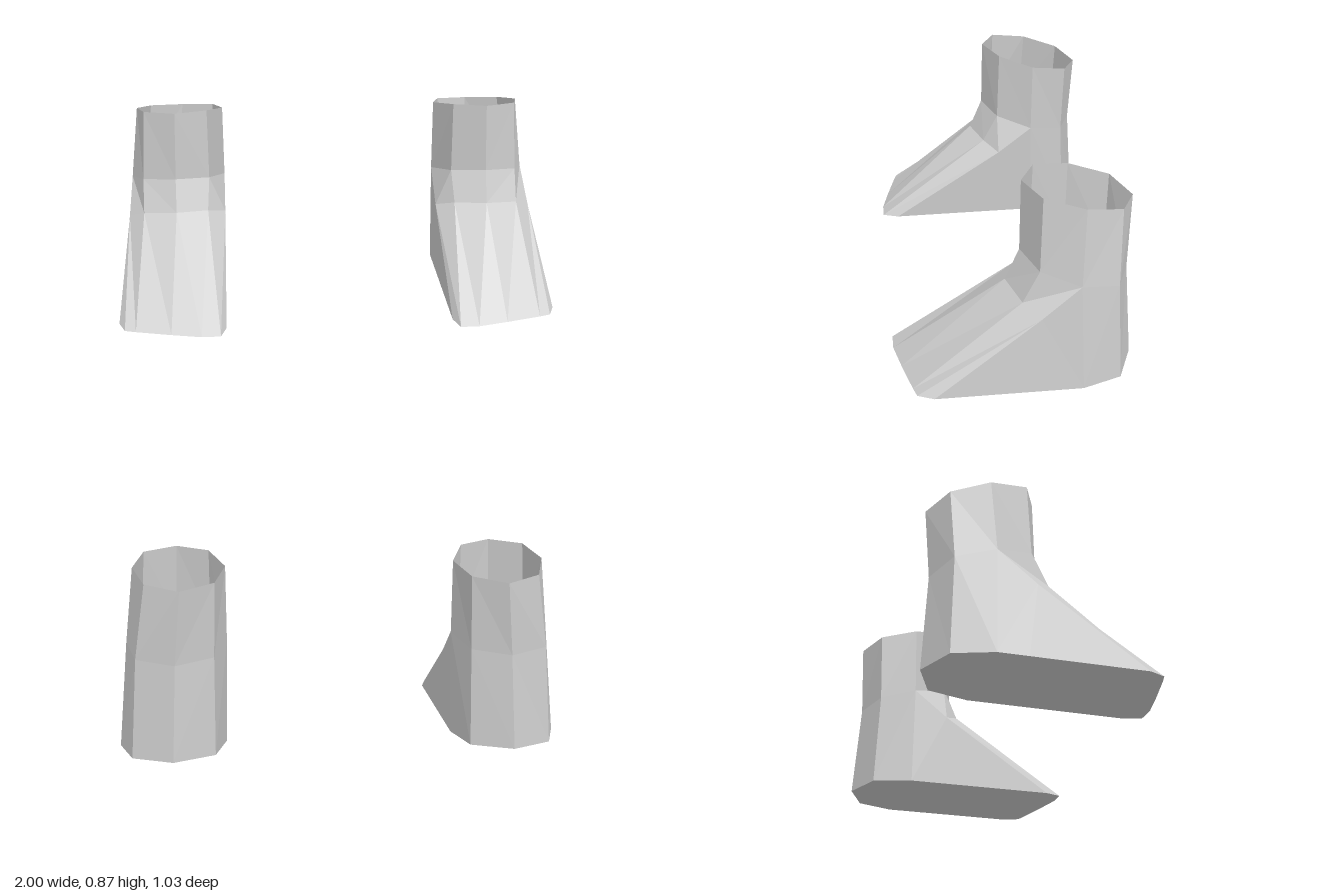
import * as THREE from 'three';

// Cross-sections of the left boot, [x, y, z].
// Ring order: front, front outer, outer, back outer, back, back inner, inner, front inner.
const cuff = [
  [0.725, 0.865, -0.03], [0.87, 0.855, -0.10], [0.915, 0.82, -0.27], [0.86, 0.78, -0.43],
  [0.71, 0.76, -0.50], [0.56, 0.78, -0.43], [0.51, 0.815, -0.26], [0.58, 0.855, -0.10],
];
const ankle = [
  [0.735, 0.545, -0.025], [0.89, 0.525, -0.09], [0.955, 0.48, -0.255], [0.91, 0.445, -0.42],
  [0.74, 0.43, -0.485], [0.57, 0.445, -0.42], [0.51, 0.48, -0.255], [0.58, 0.525, -0.09],
];
// Front half sections run from inner to outer.
const instep = [
  [0.51, 0.35, -0.09], [0.59, 0.385, -0.02], [0.735, 0.40, 0.035], [0.89, 0.38, -0.02], [0.965, 0.34, -0.09],
];
const toe = [
  [0.54, 0, 0.515], [0.625, 0, 0.515], [0.76, 0, 0.485], [0.92, 0, 0.445], [0.97, 0, 0.43],
];
// Heel runs from outer to inner.
const heel = [
  [1, 0, -0.27], [0.94, 0, -0.44], [0.76, 0, -0.515], [0.575, 0, -0.44], [0.52, 0, -0.26],
];
const outerSole = [[1, 0, 0.36], [1, 0, -0.14]];
const innerSole = [0.515, 0, 0.44];

// Flat-shaded mesh from triangulated polygons, mirrored when side is -1
function facetMesh(name, polygons, side, material) {
  const points = [];
  for (const poly of polygons) {
    for (let i = 1; i < poly.length - 1; i++) {
      const tri = side > 0 ? [poly[0], poly[i], poly[i + 1]] : [poly[0], poly[i + 1], poly[i]];
      for (const [x, y, z] of tri) points.push(x * side, y, z);
    }
  }
  const geometry = new THREE.BufferGeometry();
  geometry.setAttribute('position', new THREE.Float32BufferAttribute(points, 3));
  geometry.computeVertexNormals();
  const mesh = new THREE.Mesh(geometry, material);
  mesh.name = name;
  return mesh;
}

// Quads joining a lower and an upper section
function strip(lower, upper) {
  return lower.slice(1).map((p, i) => [lower[i], p, upper[i + 1], upper[i]]);
}

function createBoot(name, side, material) {
  const boot = new THREE.Group();
  boot.name = name;
  const ankleFront = [6, 7, 0, 1, 2].map((i) => ankle[i]);
  const ankleBack = ankle.slice(2, 7);
  const add = (part, polygons) => boot.add(facetMesh(part, polygons, side, material));

  // Open shaft
  add('shaft', strip([...ankle, ankle[0]], [...cuff, cuff[0]]));
  // Bend above the foot, and the long sloping top of the foot
  add('instep', strip(instep, ankleFront));
  add('footTop', strip(toe, instep));
  // Back of the heel
  add('heel', strip(heel, ankleBack));
  // Flat sides of the foot
  add('footSides', [
    [instep[4], toe[4], ...outerSole, heel[0], ankle[2]],
    [instep[0], ankle[6], heel[4], innerSole, toe[0]],
  ]);
  // Sole, facing down
  add('sole', [[...toe, ...outerSole, ...heel, innerSole].reverse()]);
  return boot;
}

export function createModel() {
  const grey = new THREE.MeshStandardMaterial({ color: 0xcccccc });
  grey.name = 'lightGrey';
  grey.side = THREE.DoubleSide;
  grey.flatShading = true;

  const model = new THREE.Group();
  model.name = 'boots';
  model.add(createBoot('leftBoot', 1, grey), createBoot('rightBoot', -1, grey));
  return model;
}
